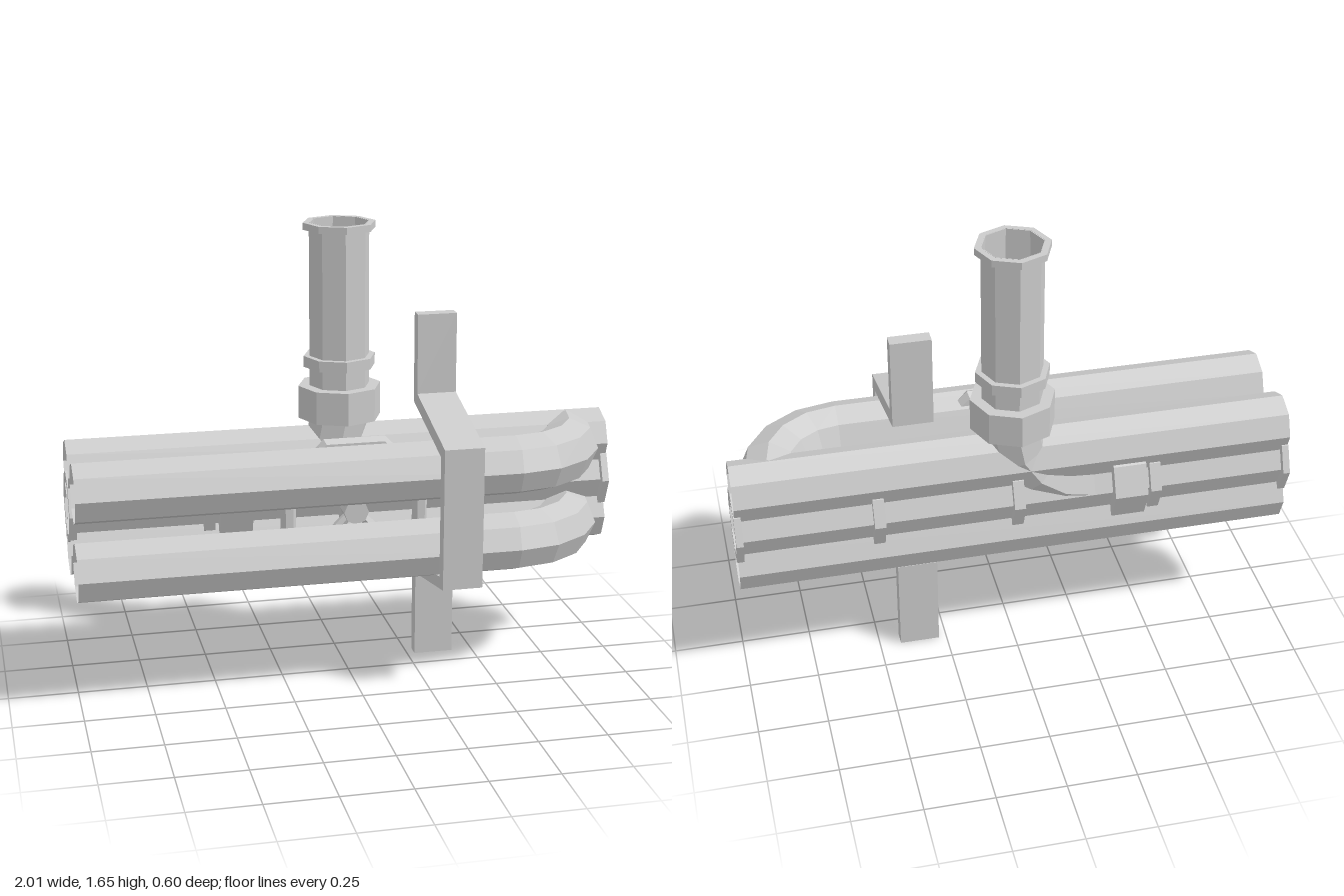
import * as THREE from 'three';

const SIDES = 8, R = 0.11, BACK = -0.15, FRONT = 0.14, MID = 0.66;

export function createModel() {
  const model = new THREE.Group();
  const mat = new THREE.MeshStandardMaterial({ color: 0xcccccc, flatShading: true, side: THREE.DoubleSide });

  const add = (name, geo, x = 0, y = 0, z = 0) => {
    const mesh = new THREE.Mesh(geo, mat);
    mesh.name = name;
    mesh.position.set(x, y, z);
    model.add(mesh);
    return mesh;
  };
  // open thin-walled octagonal pipe along y
  const pipe = (r, length) => new THREE.CylinderGeometry(r, r, length, SIDES, 1, true);
  // octagonal collar with a bore, along y
  const collar = (outer, inner, h) => new THREE.LatheGeometry(
    [[inner, -h / 2], [outer, -h / 2], [outer, h / 2], [inner, h / 2], [inner, -h / 2]]
      .map(([a, b]) => new THREE.Vector2(a, b)), SIDES);

  // three long pipes at the back
  for (const y of [0.8, MID, 0.51]) {
    add('backPipe', pipe(R, 2).rotateZ(Math.PI / 2), 0, y, BACK);
  }

  // two front pipes, each bending back into the rear bank
  const bendX = 0.585, bendR = FRONT + 0.14;
  for (const y of [0.8, 0.51]) {
    add('frontPipe', pipe(R, 1 + bendX).rotateZ(Math.PI / 2), (bendX - 1) / 2, y, FRONT);
    add('frontPipeBend', new THREE.TorusGeometry(bendR, R, SIDES, 4, Math.PI / 2).rotateX(Math.PI / 2),
      bendX, y, -0.14);
  }

  // collars and coupling nut on the middle pipe
  for (const x of [-0.99, -0.5, 0, 0.5, 0.99]) {
    add('pipeCollar', collar(0.135, R - 0.003, x % 0.5 ? 0.025 : 0.04).rotateZ(Math.PI / 2), x, MID, BACK);
  }
  add('couplingNut', collar(0.15, R - 0.003, 0.12).rotateZ(Math.PI / 2), -0.405, MID, BACK);

  // upright pipe, its collars and the elbow into the middle pipe
  add('uprightPipe', pipe(R, 0.72), 0, 1.295, BACK);
  add('uprightRim', collar(0.132, R - 0.003, 0.025), 0, 1.642, BACK);
  add('uprightCollar', collar(0.132, R - 0.003, 0.04), 0, 1.15, BACK);
  add('uprightNut', collar(0.152, R - 0.003, 0.12), 0, 1.0, BACK);
  add('elbow', new THREE.TorusGeometry(0.28, R, SIDES, 4, Math.PI / 2).rotateZ(-Math.PI / 2),
    -0.28, 0.94, BACK);

  // valve handwheel between the pipe banks
  const wheelZ = 0.1;
  add('valveWheelRim', new THREE.TorusGeometry(0.26, 0.03, 6, SIDES).rotateZ(Math.PI / 8), 0, MID, wheelZ);
  add('valveHub', new THREE.CylinderGeometry(0.045, 0.045, 0.08, SIDES).rotateX(Math.PI / 2), 0, MID, wheelZ);
  add('valveStem', new THREE.CylinderGeometry(0.025, 0.025, 0.22, SIDES).rotateX(Math.PI / 2), 0, MID, 0);
  for (let i = 0; i < 2; i++) {
    add('valveSpokes', new THREE.CylinderGeometry(0.018, 0.018, 0.5, 6)
      .rotateZ(Math.PI / 4 + i * Math.PI / 2), 0, MID, wheelZ);
  }

  // bent strap bracket: profile in (z, y), extruded across x
  const strap = new THREE.Shape([
    [-0.09, 0], [-0.09, 0.325], [0.3, 0.4], [0.3, 0.92], [-0.09, 1.02], [-0.09, 1.315],
    [-0.14, 1.315], [-0.14, 0.98], [0.25, 0.88], [0.25, 0.435], [-0.14, 0.36], [-0.14, 0],
  ].map(([z, y]) => new THREE.Vector2(z, y)));
  add('strapBracket', new THREE.ExtrudeGeometry(strap, { depth: 0.145, bevelEnabled: false })
    .rotateY(-Math.PI / 2), 0.423, 0, 0);

  return model;
}
